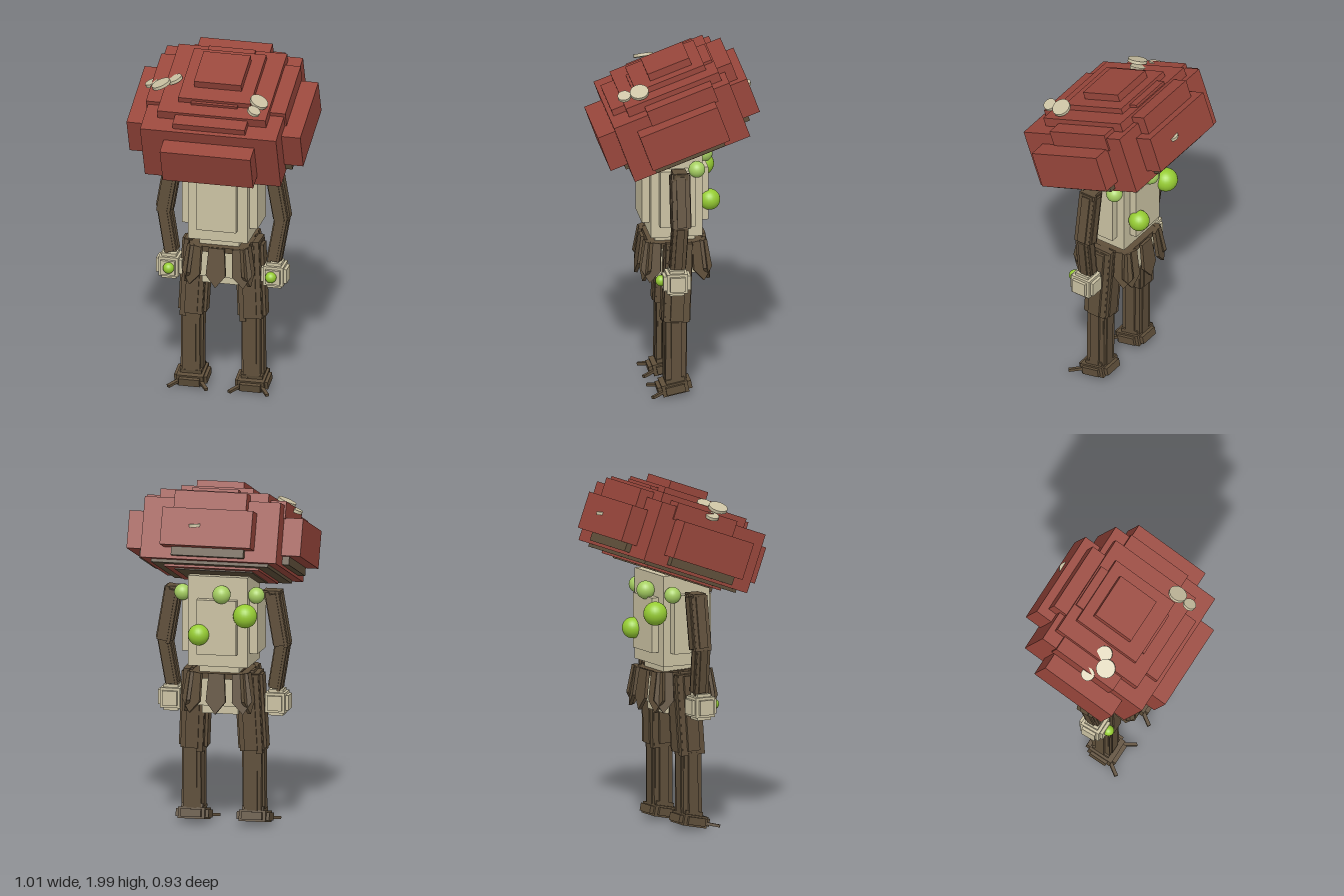
import * as THREE from 'three';

export function createModel() {
  const model = new THREE.Group();
  model.name = 'mushroomCreature';
  const mat = (name, color) => {
    const m = new THREE.MeshStandardMaterial({ color });
    m.name = name;
    return m;
  };
  const red = mat('capRed', 0x98463b);
  const brown = mat('barkBrown', 0x5f4f3a);
  const cream = mat('stemCream', 0xcbc2a3);
  const green = mat('glowGreen', 0x96cc33);
  const paleGreen = mat('paleGreen', 0xa6cf62);

  const add = (parent, name, geo, material, x = 0, y = 0, z = 0) => {
    const m = new THREE.Mesh(geo, material);
    m.name = name;
    m.position.set(x, y, z);
    parent.add(m);
    return m;
  };
  const group = (name, parent = model) => {
    const g = new THREE.Group();
    g.name = name;
    parent.add(g);
    return g;
  };
  // Box centred on x, given half width and y / z ranges
  const slab = (parent, name, material, hx, y0, y1, z0, z1) =>
    add(parent, name, new THREE.BoxGeometry(2 * hx, y1 - y0, z1 - z0), material, 0, (y0 + y1) / 2, (z0 + z1) / 2);
  const box = (parent, name, material, size, x = 0, y = 0, z = 0) =>
    add(parent, name, new THREE.BoxGeometry(...size), material, x, y, z);
  const ball = (parent, name, material, r, x, y, z) =>
    add(parent, name, new THREE.SphereGeometry(r, 24, 16), material, x, y, z);

  // Cap: stepped blocks, tipped forward
  const cap = group('cap');
  cap.position.y = 1.645;
  cap.rotation.x = THREE.MathUtils.degToRad(20);
  [
    ['capBody', 0.395, -0.172, 0.176, -0.351, 0.351],
    ['capFrontBackBlock', 0.263, -0.107, 0.107, -0.454, 0.454],
    ['capSideBlock', 0.505, -0.108, 0.108, -0.235, 0.235],
    ['capUpperSideStep', 0.405, 0.1, 0.2, -0.255, 0.145],
    ['capUpperFrontBackStep', 0.21, 0.1, 0.213, -0.405, 0.325],
    ['capSecondTier', 0.315, 0.15, 0.229, -0.317, 0.247],
    ['capThirdTierStep', 0.135, 0.2, 0.245, -0.308, 0.172],
    ['capThirdTier', 0.21, 0.2, 0.262, -0.258, 0.157],
    ['capTopTier', 0.137, 0.25, 0.306, -0.194, 0.059],
  ].forEach(([name, ...r]) => slab(cap, name, red, ...r));
  // Gills under the cap
  [
    ['gillSideBlock', brown, 0.435, -0.155, -0.05, -0.2, 0.22],
    ['gillFrontBackBlock', brown, 0.21, -0.155, -0.05, -0.385, 0.37],
    ['gillOuterPlate', brown, 0.34, -0.19, -0.15, -0.31, 0.31],
    ['gillRedPlate', red, 0.275, -0.203, -0.15, -0.25, 0.25],
    ['gillInnerPlate', brown, 0.225, -0.21, -0.15, -0.2, 0.2],
    ['gillFrontTab', brown, 0.055, -0.228, -0.15, 0.29, 0.32],
  ].forEach((r) => slab(cap, ...r));

  // Pale discs growing on the cap: x, y, z, radius, tilt about x and z
  [
    [-0.41, 1.825, 0.04, 0.038, 0.1, 0.4],
    [-0.338, 1.857, 0.115, 0.055, 0.1, 0.4],
    [-0.27, 1.872, 0.065, 0.045, 0.1, 0.4],
    [0.257, 1.85, 0.225, 0.053, 0.2, -0.45],
    [0.247, 1.827, 0.31, 0.037, 0.2, -0.45],
    [0.07, 1.805, -0.4, 0.04, 0.1, -0.1],
  ].forEach(([x, y, z, r, rx, rz]) => {
    add(model, 'capSpot', new THREE.CylinderGeometry(r, r, 0.018, 20), cream, x, y, z).rotation.set(rx, 0, rz);
  });

  // Torso, waist and pelvis
  const torso = group('torso');
  slab(torso, 'torsoBody', cream, 0.173, 0.94, 1.46, -0.147, 0.147);
  slab(torso, 'torsoSidePlate', cream, 0.22, 1.015, 1.35, -0.1, 0.1);
  slab(torso, 'torsoFrontBackPlate', cream, 0.115, 1.015, 1.33, -0.19, 0.19);
  slab(torso, 'waist', cream, 0.115, 0.88, 0.95, -0.115, 0.115);
  slab(torso, 'pelvis', cream, 0.145, 0.71, 0.9, -0.13, 0.13);
  slab(torso, 'pelvisBase', cream, 0.105, 0.66, 0.73, -0.1, 0.1);

  // Glowing orbs on the back
  ball(model, 'backOrb', green, 0.068, -0.17, 1.25, -0.197);
  ball(model, 'backOrb', green, 0.06, 0.1, 1.13, -0.2);
  ball(model, 'backOrb', paleGreen, 0.052, -0.03, 1.365, -0.185);
  ball(model, 'shoulderOrb', paleGreen, 0.047, -0.215, 1.355, -0.11);
  ball(model, 'shoulderOrb', paleGreen, 0.047, 0.215, 1.355, -0.11);

  // Skirt of pointed leaves
  const leafShape = new THREE.Shape();
  [[-0.045, 0], [0.045, 0], [0.057, -0.16], [0, -0.232], [-0.057, -0.16]]
    .forEach(([x, y], i) => (i ? leafShape.lineTo(x, y) : leafShape.moveTo(x, y)));
  const leafGeo = new THREE.ExtrudeGeometry(leafShape, { depth: 0.02, bevelEnabled: false });
  const skirt = group('skirt');
  for (let s = 0; s < 4; s++) {
    const side = group('skirtSide', skirt);
    side.rotation.y = (s * Math.PI) / 2;
    for (const i of [-1, 0, 1]) {
      const leaf = add(side, 'skirtLeaf', leafGeo, brown, i * 0.128, 0.905, i ? 0.148 : 0.165);
      leaf.rotation.set(-0.14, i * 0.3, i * 0.06, 'YXZ');
    }
  }
  slab(skirt, 'skirtBelt', brown, 0.165, 0.87, 0.902, -0.155, 0.155);

  // Limb segment of bundled bark strips between two points
  const limb = (parent, name, from, to, w, d) => {
    const a = new THREE.Vector3(...from);
    const b = new THREE.Vector3(...to);
    const len = a.distanceTo(b);
    const g = group(name, parent);
    g.position.copy(a).add(b).multiplyScalar(0.5);
    g.quaternion.setFromUnitVectors(new THREE.Vector3(0, 1, 0), a.clone().sub(b).normalize());
    box(g, 'barkCore', brown, [w * 0.8, len * 0.97, d * 0.8]);
    box(g, 'barkSideStrip', brown, [w, len * 0.93, d * 0.45]);
    box(g, 'barkFrontStrip', brown, [w * 0.45, len * 0.95, d]);
    for (const i of [-1, 1]) {
      box(g, 'barkRidge', brown, [w * 0.22, len, d * 0.9], i * w * 0.28, i * len * 0.02, 0);
    }
  };

  for (const s of [1, -1]) {
    const tag = s > 0 ? 'left' : 'right';

    // Arm and hand
    const arm = group(tag + 'Arm');
    limb(arm, 'upperArm', [s * 0.29, 1.36, 0.0], [s * 0.343, 1.05, 0.0], 0.1, 0.115);
    limb(arm, 'forearm', [s * 0.343, 1.07, 0.005], [s * 0.297, 0.8, 0.015], 0.085, 0.095);
    box(arm, 'shoulder', brown, [0.1, 0.05, 0.08], s * 0.285, 1.345, 0);
    const hand = group('hand', arm);
    hand.position.set(s * 0.305, 0.723, 0.022);
    box(hand, 'handCore', cream, [0.115, 0.115, 0.12]);
    box(hand, 'handSidePlate', cream, [0.15, 0.085, 0.085]);
    box(hand, 'handTopPlate', cream, [0.085, 0.15, 0.085]);
    box(hand, 'handFrontPlate', cream, [0.085, 0.085, 0.155]);
    ball(hand, 'handOrb', green, 0.032, -s * 0.008, 0.005, 0.085);

    // Leg and foot
    const leg = group(tag + 'Leg');
    limb(leg, 'thigh', [s * 0.152, 0.9, -0.01], [s * 0.174, 0.44, 0.01], 0.165, 0.165);
    limb(leg, 'shin', [s * 0.175, 0.46, 0.01], [s * 0.177, 0.09, 0.012], 0.13, 0.13);
    const foot = group('foot', leg);
    foot.position.set(s * 0.177, 0.055, 0.018);
    foot.rotation.x = 0.2;
    box(foot, 'footCore', brown, [0.155, 0.066, 0.15]);
    box(foot, 'footSidePlate', brown, [0.19, 0.045, 0.11]);
    box(foot, 'footLongPlate', brown, [0.12, 0.045, 0.195]);
    box(foot, 'footTop', brown, [0.125, 0.03, 0.11], 0, 0.04, -0.01);
    for (const i of [-1, 1]) {
      const toe = box(foot, 'toeSpike', brown, [0.02, 0.016, 0.12], i * 0.078, -0.005, 0.09);
      toe.rotation.y = i * 0.6;
    }
  }
  return model;
}
